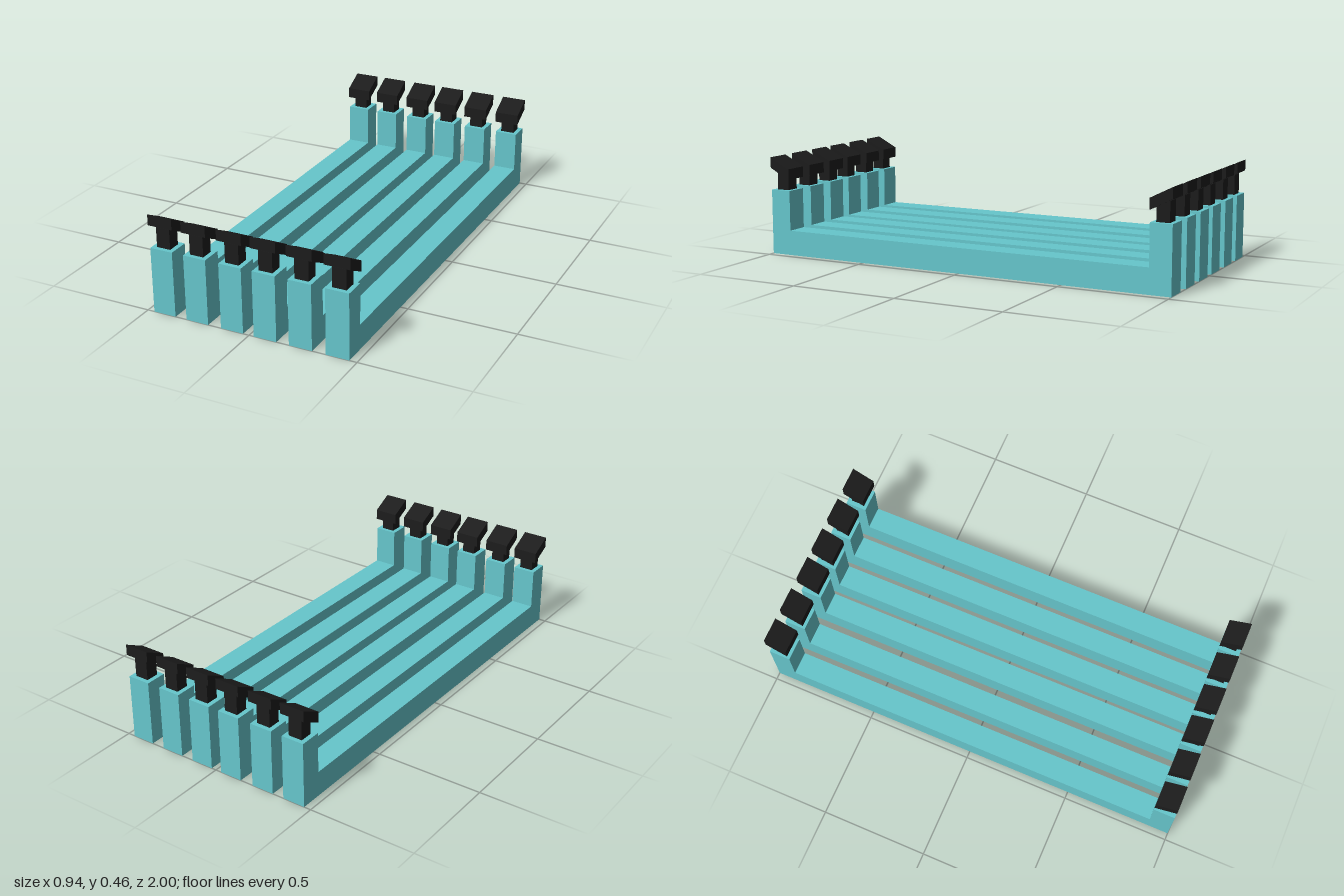
import * as THREE from 'three';

const teal = new THREE.MeshStandardMaterial({ color: 0x66c6cc });
const black = new THREE.MeshStandardMaterial({ color: 0x1c1c1c });

// Extrudes a side profile of [z, y] points across x, centred on x = 0
function sideExtrude(points, width) {
  const shape = new THREE.Shape(points.map(([z, y]) => new THREE.Vector2(z, y)));
  const geometry = new THREE.ExtrudeGeometry(shape, { depth: width, bevelEnabled: false });
  geometry.translate(0, 0, -width / 2);
  geometry.rotateY(-Math.PI / 2);
  return geometry;
}

function addPart(parent, name, geometry, material) {
  const mesh = new THREE.Mesh(geometry, material);
  mesh.name = name;
  parent.add(mesh);
  return mesh;
}

export function createModel() {
  const model = new THREE.Group();
  model.name = 'uBeamRack';

  // U-shaped beam: long floor bar with an upright at each end
  const beamGeometry = sideExtrude([
    [-1, 0], [1, 0], [1, 0.304], [0.9, 0.304],
    [0.9, 0.116], [-0.9, 0.116], [-0.9, 0.304], [-1, 0.304],
  ], 0.107);

  // Neck, and a slanted pad that rises towards the outer end
  const neckGeometry = new THREE.BoxGeometry(0.065, 0.094, 0.06);
  const padGeometry = (end) => sideExtrude([
    [0.9, 0.357], [1, 0.408], [1, 0.458], [0.9, 0.407],
  ].map(([z, y]) => [z * end, y]), 0.117);
  const ends = [
    { name: 'front', sign: 1, pad: padGeometry(1) },
    { name: 'back', sign: -1, pad: padGeometry(-1) },
  ];

  // Six beams side by side, slightly unevenly spaced
  [-0.414, -0.252, -0.082, 0.076, 0.242, 0.412].forEach((x, i) => {
    const unit = new THREE.Group();
    unit.name = `beamUnit${i + 1}`;
    unit.position.x = x;
    addPart(unit, 'beam', beamGeometry, teal);
    for (const end of ends) {
      addPart(unit, `${end.name}Neck`, neckGeometry, black).position.set(0, 0.349, 0.95 * end.sign);
      addPart(unit, `${end.name}Pad`, end.pad, black);
    }
    model.add(unit);
  });

  return model;
}
